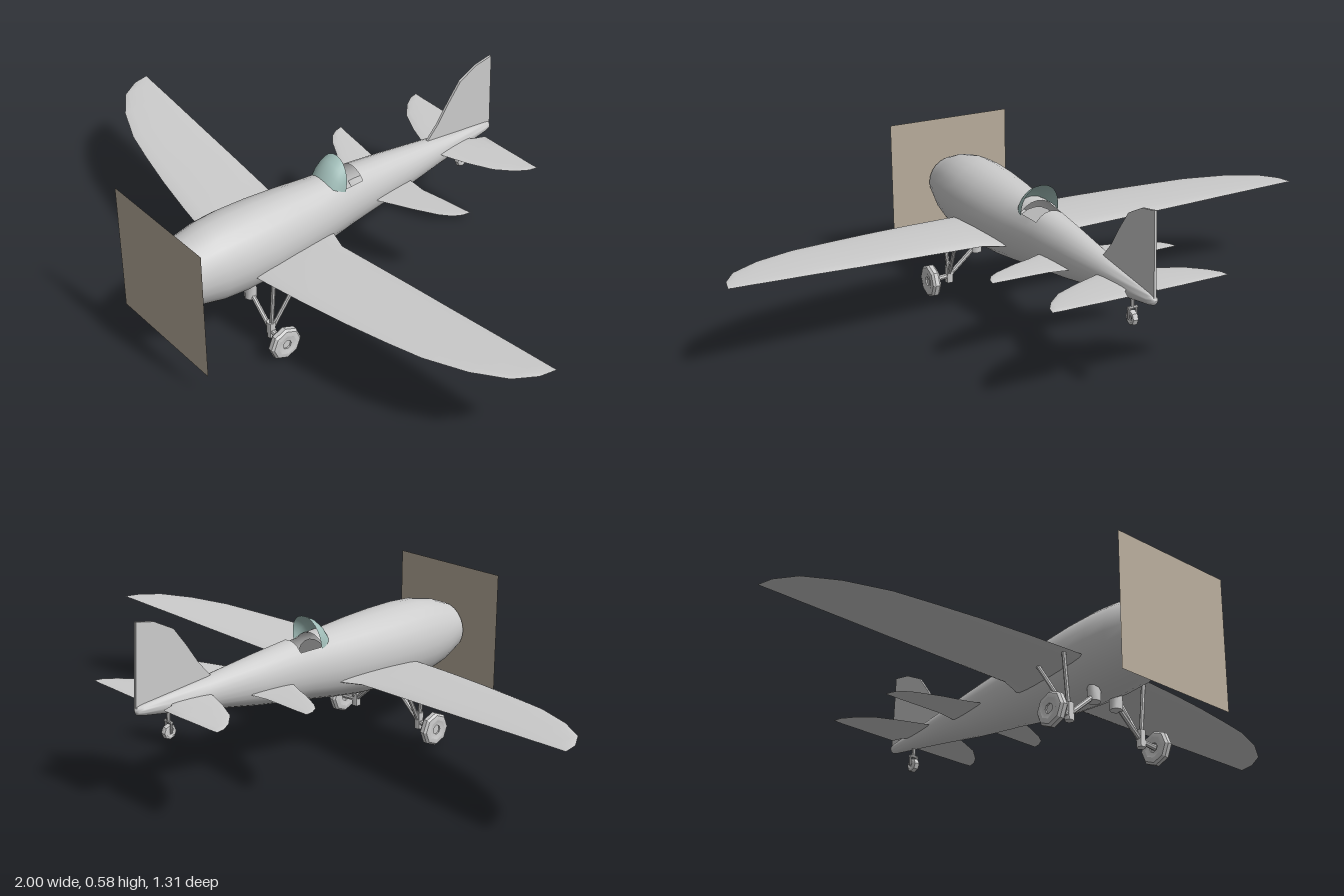
import * as THREE from 'three';
import { toCreasedNormals } from 'three/addons/utils/BufferGeometryUtils.js';

const V = (x, y, z) => new THREE.Vector3(x, y, z);
const paint = (color) => new THREE.MeshStandardMaterial({ color, side: THREE.DoubleSide });
const grey = paint(0xcccccc);

function part(name, geometry, parent, material = grey) {
  const mesh = new THREE.Mesh(geometry, material);
  mesh.name = name;
  parent.add(mesh);
  return mesh;
}

// Skin over rows of equally many points; skip(i, j) leaves a quad open
function skin(rows, crease, skip = () => false) {
  const n = rows[0].length, index = [];
  for (let i = 0; i < rows.length - 1; i++) {
    for (let j = 0; j < n - 1; j++) {
      if (skip(i, j)) continue;
      const a = i * n + j, b = a + n;
      index.push(a, b, a + 1, b, b + 1, a + 1);
    }
  }
  const g = new THREE.BufferGeometry().setFromPoints(rows.flat());
  g.setIndex(index);
  return toCreasedNormals(g, crease);
}

// Round bar between two points
function bar(name, a, b, r, parent, sides = 8) {
  const g = new THREE.CylinderGeometry(r, r, a.distanceTo(b), sides);
  const mesh = part(name, toCreasedNormals(g, 0.9), parent);
  mesh.position.copy(a).lerp(b, 0.5);
  mesh.quaternion.setFromUnitVectors(V(0, 1, 0), b.clone().sub(a).normalize());
  return mesh;
}

// Lens-shaped lifting surface; stations are [x, leading z, trailing z, y, thickness]
function surface(name, stations, parent) {
  const rows = stations.map(([x, zl, zt, y, t]) => Array.from({ length: 17 }, (_, k) => {
    const a = (k / 16) * Math.PI * 2;
    return V(x, y + Math.sin(a) * t / 2, zl + (zt - zl) * (1 - Math.cos(a)) / 2);
  }));
  return part(name, skin(rows, 0.7), parent);
}

// Eight-sided wheel with a recessed hub, axle along x
function wheel(name, r, w, parent) {
  const g = new THREE.LatheGeometry([
    [0, -0.25], [0.28, -0.25], [0.28, -0.4], [0.45, -0.4], [0.6, -0.5], [0.88, -0.42], [1, -0.2],
    [1, 0.2], [0.88, 0.42], [0.6, 0.5], [0.45, 0.4], [0.28, 0.4], [0.28, 0.25], [0, 0.25],
  ].map(([x, y]) => new THREE.Vector2(x * r, y * w)), 8);
  g.rotateZ(Math.PI / 2);
  return part(name, toCreasedNormals(g, 0.6), parent);
}

export function createModel() {
  const model = new THREE.Group();
  model.name = 'airplane';

  // Fuselage rings: z, top, bottom, half width
  const rings = [
    [0.642, 0.30, 0.30, 0], [0.642, 0.38, 0.217, 0.085], [0.57, 0.408, 0.183, 0.104],
    [0.49, 0.424, 0.165, 0.117], [0.41, 0.428, 0.16, 0.122], [0.31, 0.426, 0.16, 0.119],
    [0.2, 0.42, 0.165, 0.108], [0.1, 0.411, 0.178, 0.095], [0.025, 0.407, 0.19, 0.086],
    [-0.02, 0.404, 0.198, 0.081], [-0.062, 0.401, 0.203, 0.076], [-0.2, 0.386, 0.223, 0.063],
    [-0.4, 0.36, 0.26, 0.042], [-0.55, 0.343, 0.285, 0.026], [-0.63, 0.334, 0.298, 0.017],
    [-0.648, 0.33, 0.303, 0.012], [-0.656, 0.317, 0.317, 0],
  ];
  const rows = rings.map(([z, top, bottom, w]) => Array.from({ length: 25 }, (_, j) => {
    const a = (j / 24) * Math.PI * 2;
    return V(Math.sin(a) * w, (top + bottom) / 2 + Math.cos(a) * (top - bottom) / 2, z);
  }));
  const cockpit = (i, j) => (i === 8 || i === 9) && (j < 3 || j > 20);
  part('fuselage', skin(rows, 0.8, cockpit), model);

  // Instrument panel inside the cockpit
  const panel = part('instrumentPanel', new THREE.CircleGeometry(0.08, 20), model);
  panel.position.set(0, 0.3, 0.045);

  // Windscreen: arches sharing their feet, swept from the rear hoop to the front base
  const arches = [[0.095, -0.015], [0.082, 0.013], [0.06, 0.038], [0.025, 0.061]];
  part('windscreen', skin(arches.map(([h, d]) => Array.from({ length: 17 }, (_, k) => {
    const a = (k / 16) * Math.PI, s = Math.pow(Math.sin(a) + 1e-9, 0.8);
    return V(Math.cos(a) * 0.066, 0.37 + s * h, 0.015 + s * d);
  })), 1), model, paint(0xa3c0bb));

  // Square propeller disc panel
  const disc = part('propellerPanel', new THREE.PlaneGeometry(0.434, 0.435), model, paint(0xb9ad9c));
  disc.position.set(0, 0.298, 0.656);

  // Tail fin
  const fin = new THREE.Shape([
    [-0.34, 0.34], [-0.37, 0.355], [-0.42, 0.41], [-0.465, 0.476], [-0.51, 0.535],
    [-0.578, 0.57], [-0.642, 0.582], [-0.653, 0.325],
  ].map(([z, y]) => new THREE.Vector2(-z, y)));
  const finGeometry = new THREE.ExtrudeGeometry(fin, { depth: 0.008, bevelEnabled: false });
  finGeometry.translate(0, 0, -0.004).rotateY(Math.PI / 2);
  part('tailFin', finGeometry, model);

  // Wings, tailplanes and main gear, one side then its mirror
  for (const side of [1, -1]) {
    const half = new THREE.Group();
    half.name = side > 0 ? 'leftSide' : 'rightSide';
    half.scale.x = side;
    model.add(half);

    surface('wing', [
      [0.04, 0.405, 0.06, 0.249, 0.024], [0.09, 0.4, 0.08, 0.252, 0.026],
      [0.155, 0.392, 0.103, 0.256, 0.026], [0.3, 0.371, 0.092, 0.264, 0.023],
      [0.45, 0.345, 0.081, 0.272, 0.019], [0.6, 0.313, 0.071, 0.28, 0.015],
      [0.72, 0.284, 0.063, 0.287, 0.012], [0.85, 0.23, 0.054, 0.294, 0.008],
      [0.945, 0.166, 0.048, 0.299, 0.006], [0.988, 0.1, 0.045, 0.301, 0.004],
      [1, 0.044, 0.044, 0.302, 0],
    ], half);
    surface('middlePlane', [
      [0.03, -0.09, -0.265, 0.283, 0.008], [0.07, -0.107, -0.262, 0.285, 0.008],
      [0.12, -0.131, -0.257, 0.287, 0.008], [0.18, -0.156, -0.264, 0.291, 0.007],
      [0.26, -0.197, -0.272, 0.295, 0.005], [0.293, -0.222, -0.275, 0.297, 0.004],
      [0.31, -0.25, -0.277, 0.298, 0.003], [0.316, -0.278, -0.278, 0.299, 0],
    ], half);
    surface('tailplane', [
      [0.01, -0.39, -0.53, 0.317, 0.008], [0.035, -0.402, -0.55, 0.317, 0.008],
      [0.05, -0.406, -0.59, 0.317, 0.008], [0.13, -0.436, -0.59, 0.317, 0.008],
      [0.21, -0.475, -0.59, 0.318, 0.006], [0.26, -0.522, -0.59, 0.318, 0.005],
      [0.285, -0.56, -0.59, 0.319, 0.003], [0.292, -0.59, -0.59, 0.319, 0],
    ], half);

    // Main wheel on three struts
    wheel('mainWheel', 0.055, 0.034, half).position.set(0.212, 0.056, 0.373);
    const hub = V(0.146, 0.062, 0.373);
    bar('axle', hub, V(0.215, 0.056, 0.373), 0.009, half);
    bar('gearHub', V(0.146, 0.04, 0.373), V(0.146, 0.095, 0.373), 0.014, half);
    bar('verticalStrut', hub, V(0.165, 0.255, 0.373), 0.007, half);
    bar('rearStrut', hub, V(0.165, 0.255, 0.258), 0.007, half);
    bar('innerStrut', hub, V(0.04, 0.155, 0.373), 0.008, half);
    bar('strutFitting', V(0.045, 0.13, 0.373), V(0.045, 0.18, 0.373), 0.02, half);
  }

  // Tail wheel with its fork
  wheel('tailWheel', 0.024, 0.02, model).position.set(0, 0.224, -0.535);
  for (const x of [-0.013, 0.013]) {
    bar('tailFork', V(x, 0.222, -0.535), V(x, 0.255, -0.535), 0.004, model);
  }
  bar('forkCrown', V(-0.016, 0.255, -0.535), V(0.016, 0.255, -0.535), 0.005, model);
  bar('tailStrut', V(0, 0.255, -0.535), V(0, 0.295, -0.535), 0.006, model);

  return model;
}
